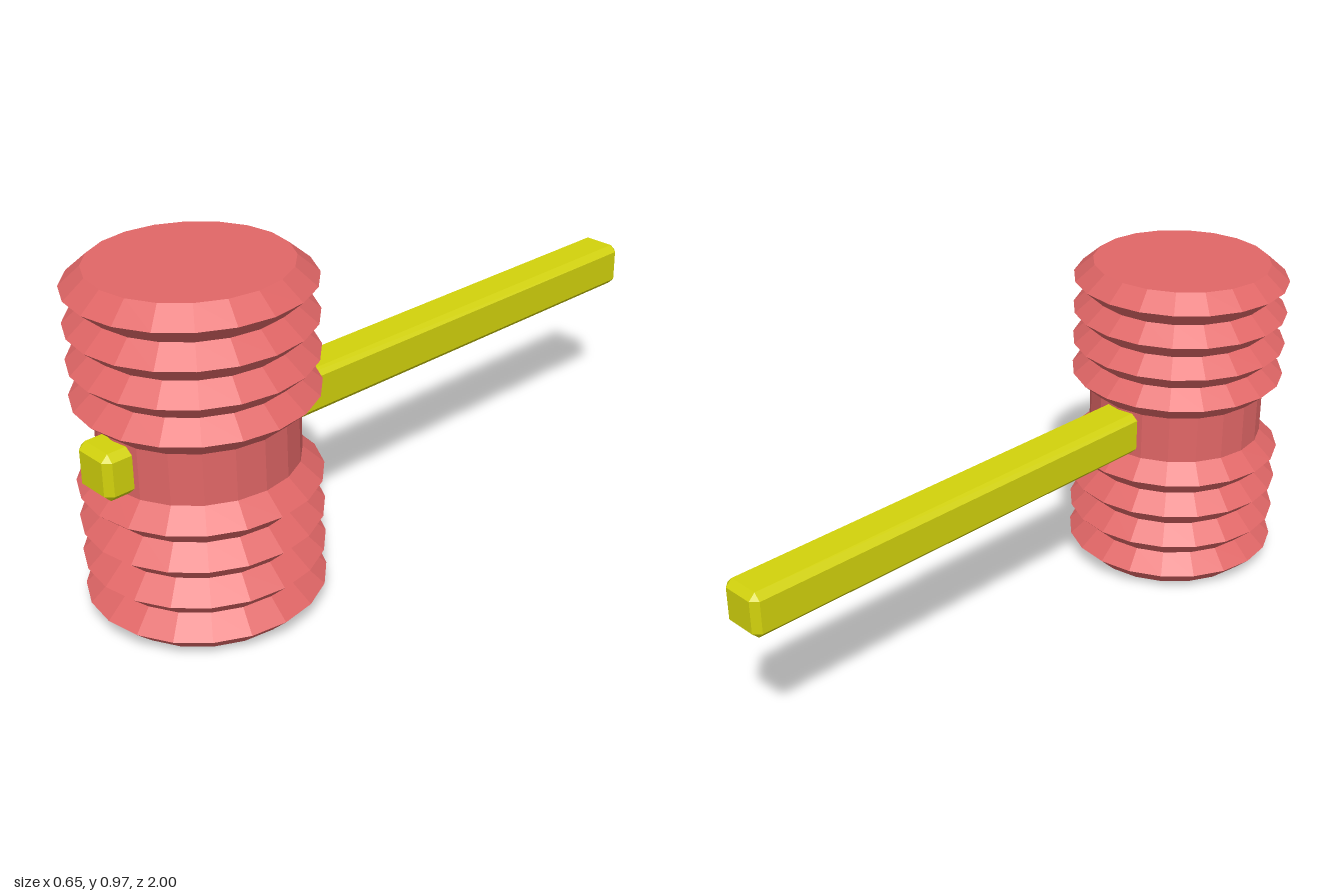
import * as THREE from 'three';
import { ConvexGeometry } from 'three/addons/geometries/ConvexGeometry.js';

const SIDES = 20, GROOVE = 0.267, RIDGE = 0.324, RIDGES = 4;

// Box with every edge and corner cut off by c
function chamferedBox(w, h, d, c) {
  const points = [];
  for (const sx of [-1, 1]) for (const sy of [-1, 1]) for (const sz of [-1, 1]) {
    const x = w / 2, y = h / 2, z = d / 2;
    for (const [px, py, pz] of [[x, y - c, z - c], [x - c, y, z - c], [x - c, y - c, z]]) {
      points.push(new THREE.Vector3(sx * px, sy * py, sz * pz));
    }
  }
  return new ConvexGeometry(points);
}

// Zigzag bellows outline from y0 to y1
function bellows(y0, y1) {
  const points = [];
  for (let i = 0; i <= RIDGES * 2; i++) {
    const y = y0 + (y1 - y0) * i / (RIDGES * 2);
    points.push(new THREE.Vector2(i % 2 ? RIDGE : GROOVE, y));
  }
  return points;
}

export function createModel() {
  const model = new THREE.Group();
  model.name = 'mallet';

  // Head: two bellows joined by a plain band, closed at both ends
  const profile = [
    new THREE.Vector2(0, 0),
    ...bellows(0, 0.423),
    ...bellows(0.568, 0.967),
    new THREE.Vector2(0, 0.967),
  ];
  const head = new THREE.Mesh(
    new THREE.LatheGeometry(profile, SIDES),
    new THREE.MeshStandardMaterial({ color: 0xe06666, flatShading: true })
  );
  head.name = 'head';
  head.position.z = 0.666;
  model.add(head);

  // Handle: runs through the band and pokes out at the front
  const handle = new THREE.Mesh(
    chamferedBox(0.132, 0.132, 2, 0.019),
    new THREE.MeshStandardMaterial({ color: 0xd2d20c, flatShading: true })
  );
  handle.name = 'handle';
  handle.position.y = 0.496;
  model.add(handle);

  return model;
}
